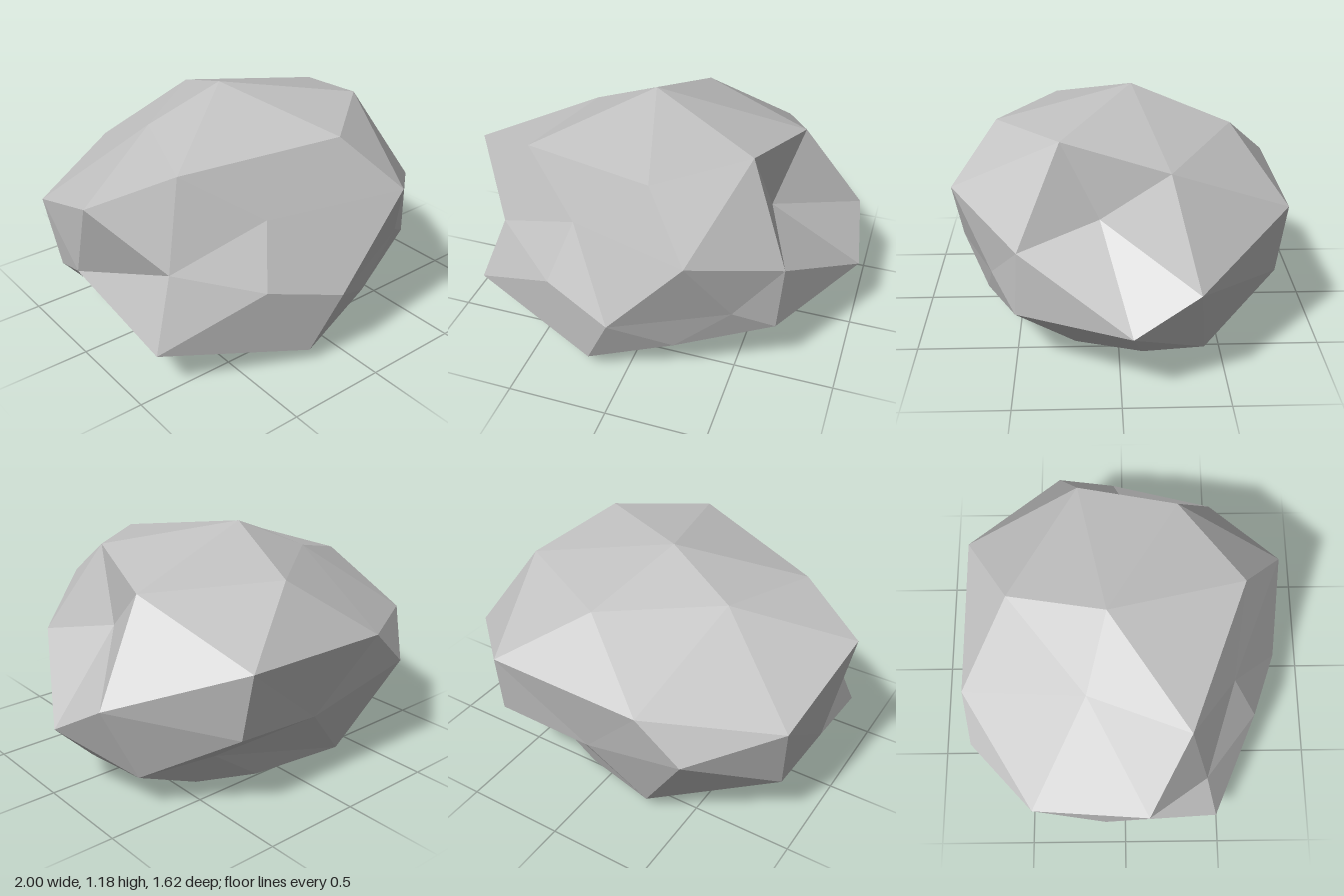
import * as THREE from 'three';

// Twelve main corners of the boulder (an irregular icosahedron).
const corners = {
  a: [0.09, 1.06, 0.59],   // top front
  b: [0.04, 1.015, -0.57], // top back
  c: [0.555, 0.73, 0.09],  // left hollow
  d: [-1, 0.84, 0.11],     // right peak
  e: [0.5, 0.435, 0.61],   // front left
  f: [-0.41, 0.45, 0.68],  // front right
  g: [0.47, 0.405, -0.76], // back left
  h: [-0.57, 0.52, -0.785], // back right
  i: [0.83, 0.19, -0.1],   // low left
  j: [-0.73, 0.14, 0.04],  // low right
  k: [-0.07, 0, 0.49],     // base front
  l: [0.13, 0, -0.49],     // base back
};

// One displaced point on each edge between two corners.
const crown = {
  ab: [-0.1, 1.18, -0.08], ac: [0.49, 1.09, 0.27], bc: [0.64, 0.99, -0.23],
  ad: [-0.635, 0.97, 0.315], bd: [-0.46, 1.01, -0.18], ae: [0.32, 0.8, 0.8],
  af: [-0.31, 0.74, 0.55], bg: [0.45, 0.735, -0.81], bh: [-0.35, 0.72, -0.81],
};
const flanks = {
  ce: [0.71, 0.64, 0.47], cg: [0.94, 0.54, -0.35], ci: [1, 0.36, -0.05],
  df: [-0.76, 0.55, 0.41], dh: [-0.93, 0.64, -0.455], dj: [-0.95, 0.4, -0.1],
  ef: [-0.055, 0.365, 0.81], gh: [-0.02, 0.36, -0.73], ei: [0.69, 0.31, 0.49],
  fj: [-0.89, 0.205, 0.48], gi: [0.77, 0.17, -0.39], hj: [-0.89, 0.285, -0.385],
};
const foot = {
  ek: [0.23, 0.2, 0.66], fk: [-0.19, 0.07, 0.74], gl: [0.4, 0.195, -0.49],
  hl: [-0.29, 0.065, -0.635], ik: [0.45, 0, 0.215], jk: [-0.4, 0, 0.31],
  il: [0.41, 0, -0.36], jl: [-0.36, 0, -0.26], kl: [0.03, 0, 0],
};

function boulderGeometry() {
  const mids = { ...crown, ...flanks, ...foot };
  const names = Object.keys(corners);
  const centre = new THREE.Vector3(0, 0.5, 0);
  const fromCentre = (n) => new THREE.Vector3(...corners[n]).sub(centre);
  const positions = [];

  // Every three corners joined by edges make a face, cut into four facets.
  for (const p of names) for (const q of names) for (const r of names) {
    if (!(p < q && q < r && mids[p + q] && mids[q + r] && mids[p + r])) continue;
    const P = corners[p], Q = corners[q], R = corners[r];
    const pq = mids[p + q], qr = mids[q + r], pr = mids[p + r];
    const outward = fromCentre(p).dot(fromCentre(q).cross(fromCentre(r))) > 0;
    for (const [u, v, w] of [[P, pq, pr], [pq, Q, qr], [pr, qr, R], [pq, qr, pr]]) {
      positions.push(...u, ...(outward ? v : w), ...(outward ? w : v));
    }
  }

  // Unshared vertices give each facet its own flat normal.
  const geometry = new THREE.BufferGeometry();
  geometry.setAttribute('position', new THREE.Float32BufferAttribute(positions, 3));
  geometry.computeVertexNormals();
  return geometry;
}

export function createModel() {
  const stone = new THREE.MeshStandardMaterial({ color: 0xc1c1c1 });
  stone.name = 'light stone grey';

  const boulder = new THREE.Mesh(boulderGeometry(), stone);
  boulder.name = 'boulder';

  const model = new THREE.Group();
  model.name = 'rock';
  model.add(boulder);
  return model;
}
